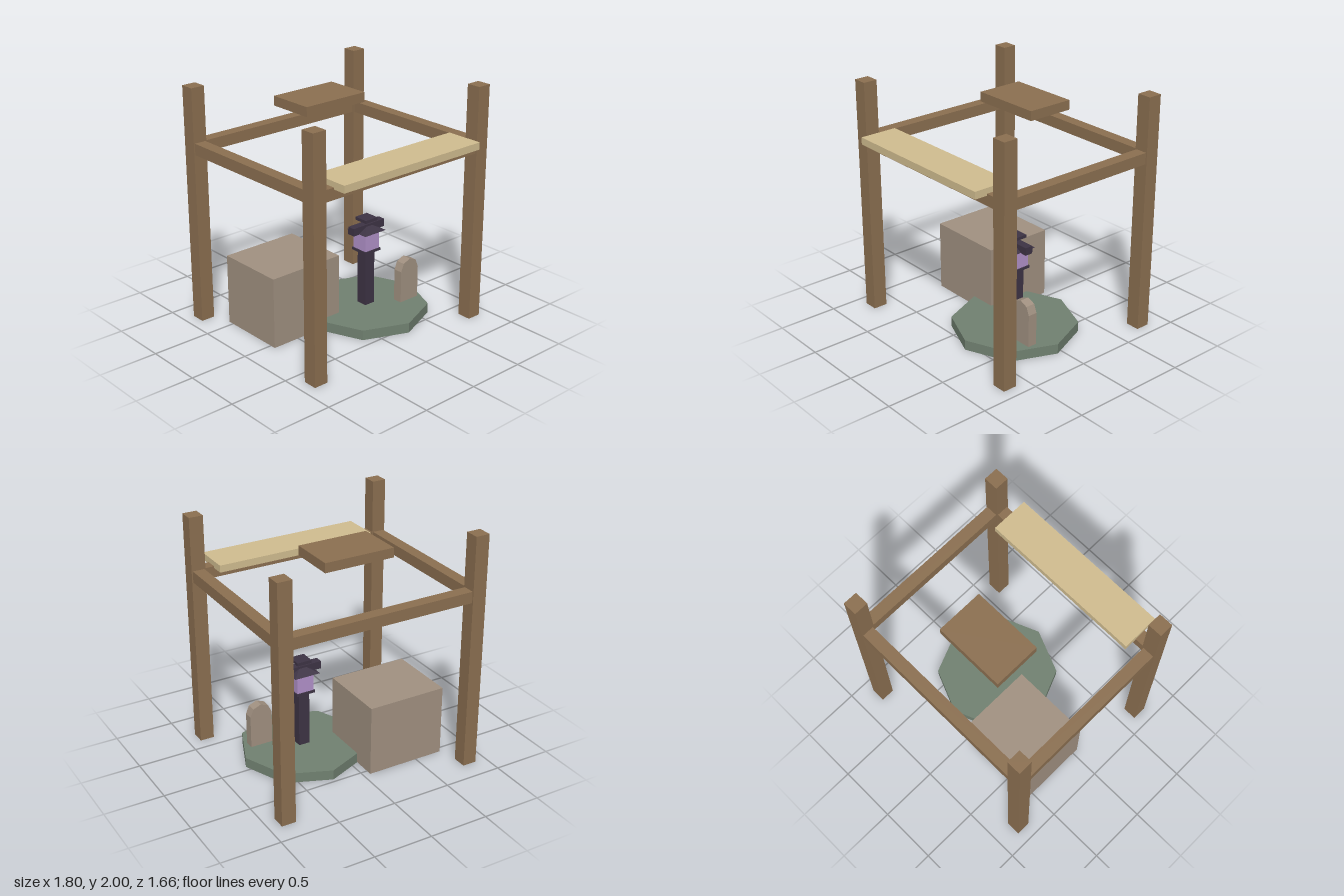
import * as THREE from 'three';

const mat = (color) => new THREE.MeshStandardMaterial({ color, flatShading: true });

export function createModel() {
  const model = new THREE.Group();
  const wood = mat(0x8b6f50);
  const straw = mat(0xd0bc8f);
  const stone = mat(0xa09080);
  const moss = mat(0x708070);
  const iron = mat(0x3d3344);
  const glass = mat(0xb090c8);

  const add = (parent, name, geometry, material, x, y, z) => {
    const mesh = new THREE.Mesh(geometry, material);
    mesh.name = name;
    mesh.position.set(x, y, z);
    parent.add(mesh);
    return mesh;
  };
  // Box given by its width, height, depth and the centre of its underside
  const box = (parent, name, material, w, h, d, x, y, z) =>
    add(parent, name, new THREE.BoxGeometry(w, h, d), material, x, y + h / 2, z);

  // Timber frame: four posts joined by a ring of beams
  const frame = new THREE.Group();
  frame.name = 'frame';
  model.add(frame);
  const front = 0.67, back = -0.77, side = 0.84;
  for (const z of [front, back]) {
    for (const x of [-side, side]) box(frame, 'post', wood, 0.12, 2, 0.12, x, 0, z);
    box(frame, 'crossBeam', wood, side * 2, 0.095, 0.1, 0, 1.455, z);
  }
  for (const x of [-side, side])
    box(frame, 'sideBeam', wood, 0.1, 0.095, front - back, x, 1.455, (front + back) / 2);

  // Boards overhead
  box(model, 'frontAwning', straw, 1.4, 0.06, 0.32, 0, 1.535, 0.67);
  box(model, 'hangingBoard', wood, 0.6, 0.08, 0.4, 0, 1.8, -0.25);

  // Stone block and octagonal mossy ground
  box(model, 'stoneBlock', stone, 0.68, 0.6, 0.6, -0.4, 0, -0.25);
  add(model, 'mossPlatform', new THREE.CylinderGeometry(0.52, 0.52, 0.085, 8), moss, 0.238, 0.0425, 0.05);

  // Lantern on a pillar
  const lantern = new THREE.Group();
  lantern.name = 'lantern';
  lantern.position.set(0.238, 0, 0.05);
  model.add(lantern);
  box(lantern, 'pillar', iron, 0.097, 0.485, 0.097, 0, 0.08, 0);
  box(lantern, 'tray', iron, 0.166, 0.022, 0.166, 0, 0.565, 0);
  box(lantern, 'glass', glass, 0.15, 0.16, 0.15, 0, 0.586, 0);
  const roof = add(lantern, 'roof', new THREE.ConeGeometry(0.16, 0.06, 4), iron, 0, 0.775, 0);
  roof.rotation.y = Math.PI / 4;
  box(lantern, 'roofBar', iron, 0.336, 0.065, 0.068, 0, 0.74, 0);
  box(lantern, 'cap', iron, 0.126, 0.026, 0.126, 0, 0.83, 0);

  // Round-topped standing stone
  const r = 0.097;
  const outline = new THREE.Shape();
  outline.moveTo(-r, 0);
  outline.lineTo(r, 0);
  for (let i = 0; i <= 4; i++) {
    const a = (i / 4) * Math.PI;
    outline.lineTo(r * Math.cos(a), 0.28 + r * Math.sin(a));
  }
  const slab = new THREE.ExtrudeGeometry(outline, { depth: 0.08, bevelEnabled: false });
  add(model, 'standingStone', slab, stone, 0.544, 0.083, 0.176);

  return model;
}
